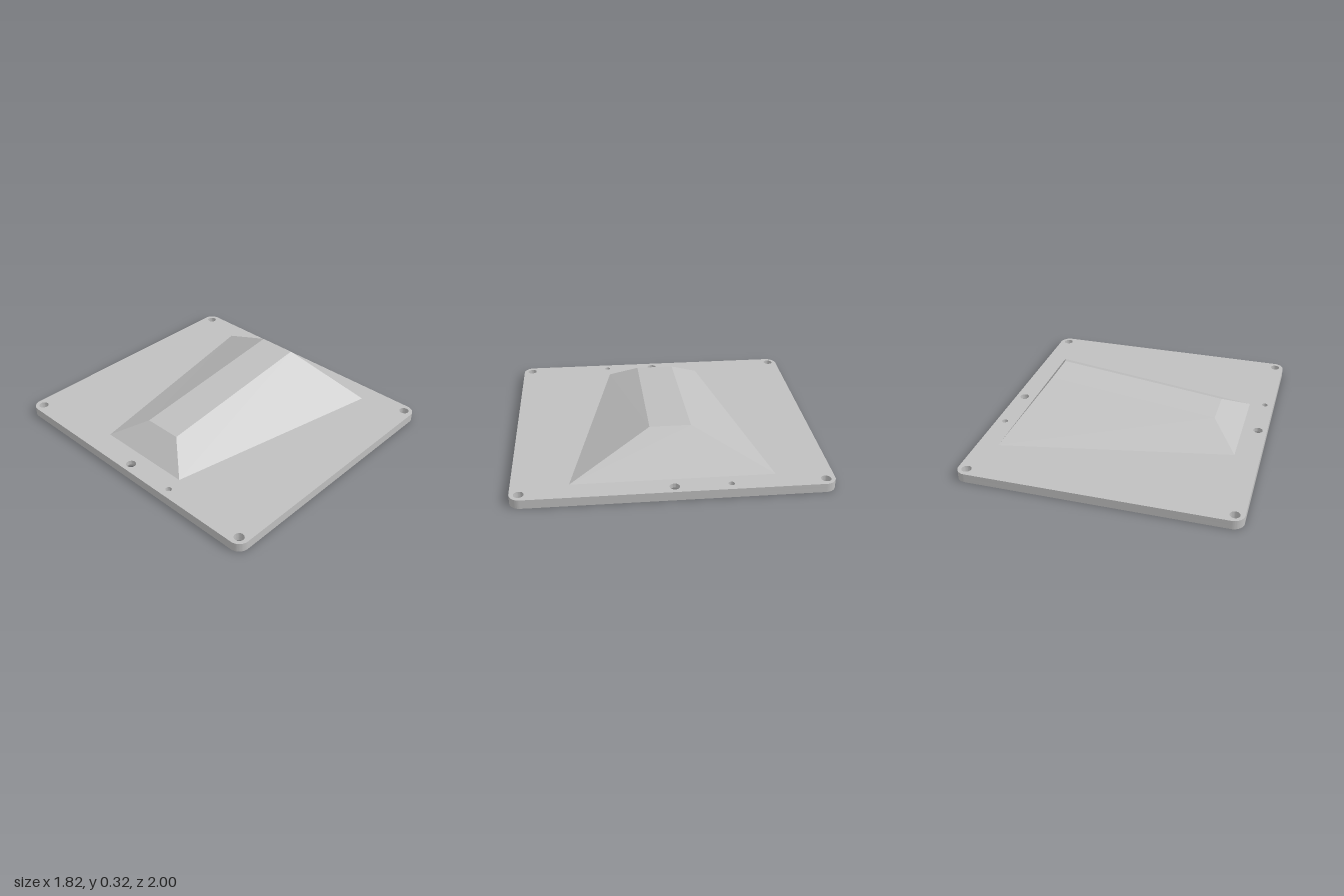
import * as THREE from 'three';
import { toCreasedNormals } from 'three/addons/utils/BufferGeometryUtils.js';

const HALF_X = 0.91, HALF_Z = 1, CORNER = 0.07, THICK = 0.06, MID = 0.03;
const BOLT_R = 0.032, SINK_R = 0.05, PIN_R = 0.02;

// Hood base outline as [x, z]
const BASE = [[-0.745, 0.335], [0.77, 0.64], [0.77, -0.64], [-0.745, -0.335]];

function roundedOutline() {
  const s = new THREE.Shape();
  const corners = [[1, 1], [-1, 1], [-1, -1], [1, -1]];
  corners.forEach(([sx, sz], i) => {
    const a = i * Math.PI / 2;
    s.absarc(sx * (HALF_X - CORNER), sz * (HALF_Z - CORNER), CORNER, a, a + Math.PI / 2, false);
  });
  s.closePath();
  return s;
}

// One layer of the plate; round holes are given as [x, z, radius]
function plateLayer(holes, y, height) {
  const shape = roundedOutline();
  for (const [x, z, r] of holes) {
    const hole = new THREE.Path();
    hole.absarc(x, -z, r, 0, Math.PI * 2, true);
    shape.holes.push(hole);
  }
  shape.holes.push(new THREE.Path(BASE.map(([x, z]) => new THREE.Vector2(x, -z))));
  const geo = new THREE.ExtrudeGeometry(shape, { depth: height, bevelEnabled: false, curveSegments: 16 });
  geo.rotateX(-Math.PI / 2).translate(0, y, 0);
  return toCreasedNormals(geo, 0.6);
}

// Four sloping sides and a top, facing outward or inward
function hoodSkin(baseY, top, inward) {
  const low = BASE.map(([x, z]) => [x, baseY, z]);
  const quads = [top];
  for (let i = 0; i < 4; i++) {
    const j = (i + 1) % 4;
    quads.push([low[i], low[j], top[j], top[i]]);
  }
  const pos = [];
  for (const q of quads) {
    const [a, b, c, d] = inward ? [...q].reverse() : q;
    pos.push(...a, ...b, ...c, ...a, ...c, ...d);
  }
  const geo = new THREE.BufferGeometry();
  geo.setAttribute('position', new THREE.Float32BufferAttribute(pos, 3));
  geo.computeVertexNormals();
  return geo;
}

// Top strip corners, matching the order of BASE
function topStrip(xl, yl, xr, yr, z) {
  return [[xl, yl, z], [xr, yr, z], [xr, yr, -z], [xl, yl, -z]];
}

export function createModel() {
  const group = new THREE.Group();
  const grey = new THREE.MeshStandardMaterial({ color: 0xc0c0c0 });
  grey.name = 'grey';
  const greyOpen = new THREE.MeshStandardMaterial({ color: 0xc0c0c0, side: THREE.DoubleSide });
  greyOpen.name = 'greyOpen';

  const add = (name, geo, mat = grey) => {
    const mesh = new THREE.Mesh(geo, mat);
    mesh.name = name;
    group.add(mesh);
    return mesh;
  };

  // Mounting plate: countersunk side bolts below, blind pin holes above
  const cornerHoles = [];
  for (const sx of [-1, 1]) for (const sz of [-1, 1]) cornerHoles.push([sx * 0.85, sz * 0.94, BOLT_R]);
  const sideHoles = r => [[-0.85, 0, r], [0.85, 0, r]];
  const pinHoles = [[0.85, -0.35, PIN_R], [-0.85, 0.35, PIN_R]];
  add('plateBottom', plateLayer([...cornerHoles, ...sideHoles(SINK_R)], 0, MID));
  add('plateTop', plateLayer([...cornerHoles, ...sideHoles(BOLT_R), ...pinHoles], MID, THICK - MID));

  // Countersink cones
  for (const [x, z] of sideHoles(0)) {
    const cone = new THREE.CylinderGeometry(BOLT_R, SINK_R, MID, 32, 1, true);
    add('countersink', cone, greyOpen).position.set(x, MID / 2, z);
  }

  // Hollow sloping hood
  add('hoodOuter', hoodSkin(THICK, topStrip(-0.57, 0.19, 0.57, 0.325, 0.13), false));
  add('hoodInner', hoodSkin(0, topStrip(-0.56, 0.172, 0.56, 0.305, 0.118), true));

  return group;
}
